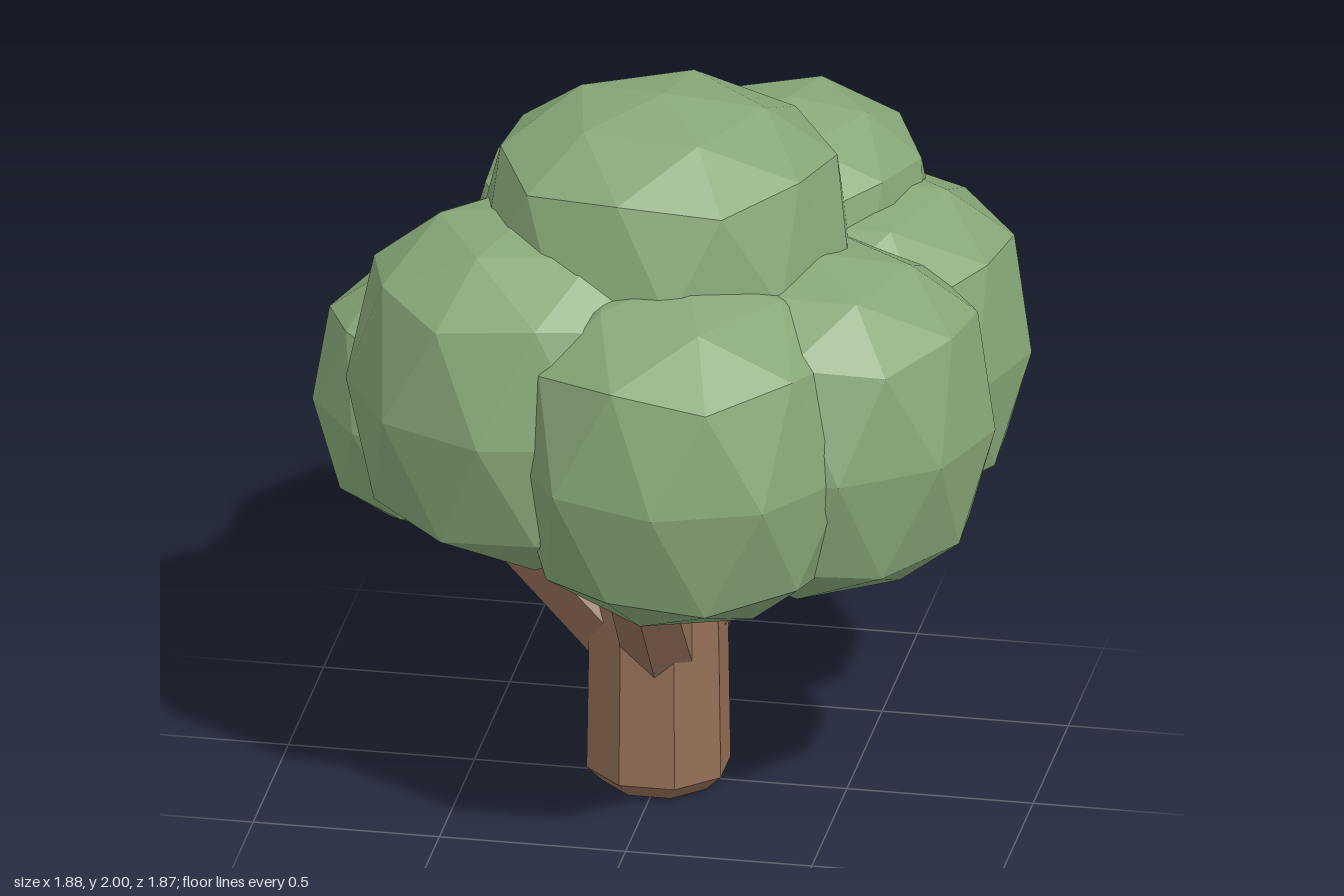
import * as THREE from 'three';

const leafGreen = new THREE.MeshStandardMaterial({ color: 0x88a878, flatShading: true });
leafGreen.name = 'leafGreen';
const barkBrown = new THREE.MeshStandardMaterial({ color: 0x946f57, flatShading: true });
barkBrown.name = 'barkBrown';

// Faceted ball with a vertex at each pole, fuller towards top and bottom than a sphere
function leafBall(yaw) {
  const g = new THREE.IcosahedronGeometry(1, 1);
  g.rotateZ(-Math.atan(2 / (1 + Math.sqrt(5))));
  g.rotateY(yaw);
  const p = g.attributes.position;
  for (let i = 0; i < p.count; i++) {
    const y = p.getY(i);
    p.setY(i, Math.abs(y) < 1e-4 ? 0 : Math.sign(y) * Math.pow(Math.abs(y), 0.65));
  }
  return g;
}

// Leaf clumps: name, centre, radii, turn
const CLUMPS = [
  ['coreLeaves', [0.02, 1.18, 0], [0.72, 0.47, 0.7], 0],
  ['topLeaves', [0.02, 1.56, 0.05], [0.51, 0.44, 0.49], 0.2],
  ['frontLeaves', [0.15, 1.165, 0.41], [0.48, 0.475, 0.53], 0],
  ['frontRightLeaves', [-0.29, 1.24, 0.25], [0.5, 0.49, 0.5], 0.5],
  ['leftLeaves', [0.45, 1.165, 0.19], [0.485, 0.47, 0.47], 0.31],
  ['backLeftLeaves', [0.45, 1.17, -0.3], [0.49, 0.46, 0.5], 0.31],
  ['upperBackLeaves', [0.27, 1.4, -0.4], [0.39, 0.41, 0.45], 0.1],
  ['backRightLeaves', [-0.13, 1.22, -0.43], [0.49, 0.49, 0.53], 0.31],
  ['lowRightLeaves', [-0.56, 1.0, -0.15], [0.4, 0.36, 0.41], 0.63],
];

// Boughs: name, start, end, radius at both ends
const BOUGHS = [
  ['rightBough', [0, 0.36, 0.02], [-0.5, 0.85, -0.02], 0.135, 0.12],
  ['frontBough', [0.02, 0.34, 0.03], [0.02, 0.86, 0.47], 0.11, 0.1],
  ['backBough', [0.02, 0.38, 0], [0.34, 0.88, -0.31], 0.12, 0.1],
];

function bough([name, from, to, r0, r1]) {
  const a = new THREE.Vector3(...from), b = new THREE.Vector3(...to);
  const dir = b.clone().sub(a);
  const mesh = new THREE.Mesh(new THREE.CylinderGeometry(r1, r0, dir.length(), 6), barkBrown);
  mesh.name = name;
  mesh.position.copy(a).add(b).multiplyScalar(0.5);
  mesh.quaternion.setFromUnitVectors(new THREE.Vector3(0, 1, 0), dir.normalize());
  return mesh;
}

export function createModel() {
  const tree = new THREE.Group();
  tree.name = 'tree';

  // Trunk with a narrowed foot
  const profile = [[0, 0], [0.14, 0.005], [0.184, 0.05], [0.178, 0.45], [0.165, 0.8], [0.1, 1.15]]
    .map(([x, y]) => new THREE.Vector2(x, y));
  const trunk = new THREE.Mesh(new THREE.LatheGeometry(profile, 8, Math.PI / 8), barkBrown);
  trunk.name = 'trunk';
  trunk.position.z = 0.03;
  trunk.scale.x = 1.06;
  tree.add(trunk);

  for (const b of BOUGHS) tree.add(bough(b));

  // Crown of overlapping clumps
  const crown = new THREE.Group();
  crown.name = 'crown';
  for (const [name, centre, radii, yaw] of CLUMPS) {
    const clump = new THREE.Mesh(leafBall(yaw), leafGreen);
    clump.name = name;
    clump.position.set(...centre);
    clump.scale.set(...radii);
    crown.add(clump);
  }
  tree.add(crown);
  return tree;
}
